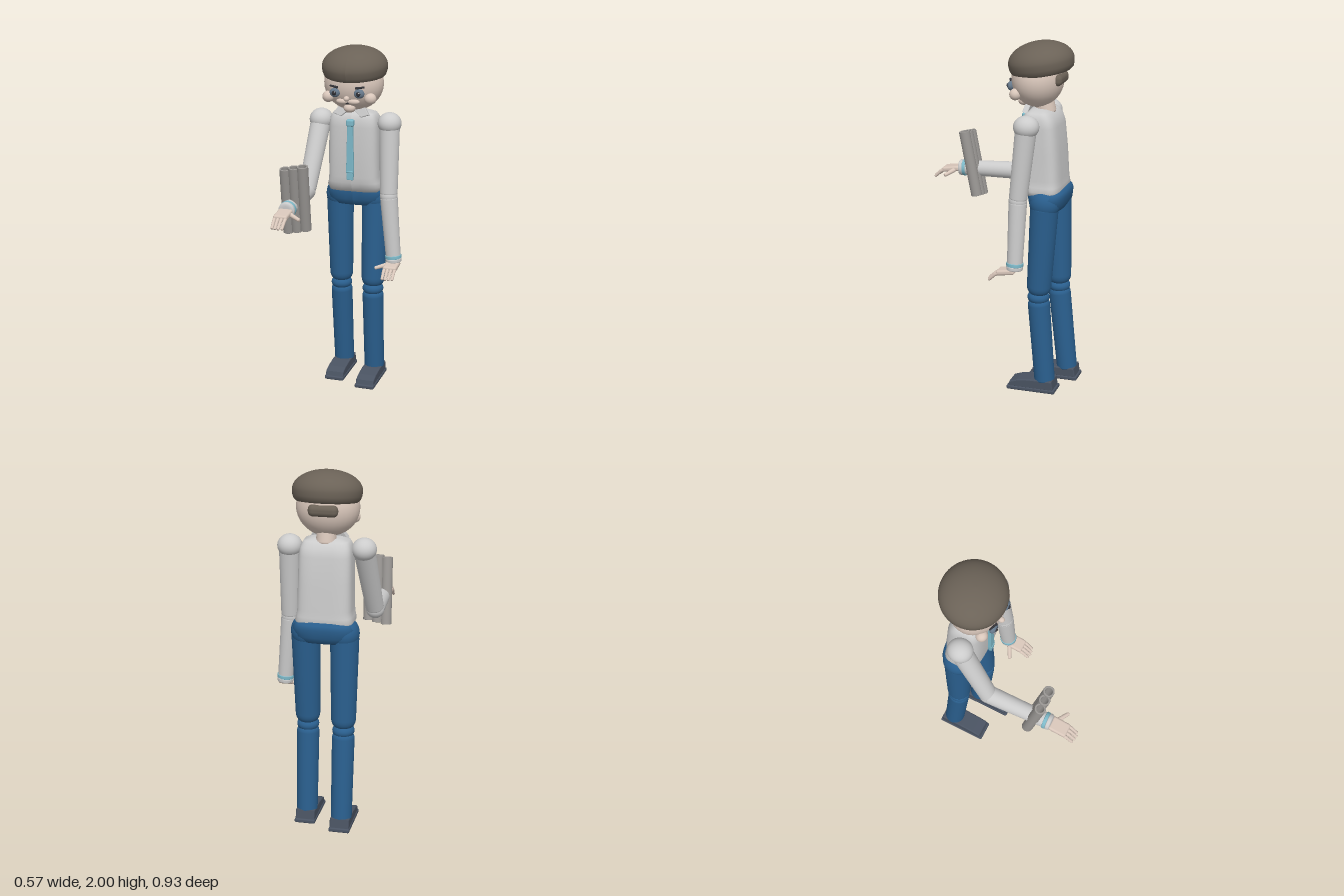
import * as THREE from 'three';
import { RoundedBoxGeometry } from 'three/addons/geometries/RoundedBoxGeometry.js';

const mat = (color) => new THREE.MeshStandardMaterial({ color });
const SHIRT = mat(0xcccccc), SKIN = mat(0xd8c6ba), PANTS = mat(0x2a5f8e), SHOE = mat(0x4a5362),
  CAP = mat(0x6b6257), BLUE = mat(0x7db9c9), PAPER = mat(0x9b9895), DARK = mat(0x333338), EYE = mat(0x66788a);
const V = (x, y, z) => new THREE.Vector3(x, y, z);
const UP = V(0, 1, 0), CX = -0.014;

export function createModel() {
  const model = new THREE.Group();

  const add = (name, geometry, material, pos = V(0, 0, 0), parent = model) => {
    const m = new THREE.Mesh(geometry, material);
    m.name = name;
    m.position.copy(pos);
    parent.add(m);
    return m;
  };

  // solid of revolution from point a to point b, profile pairs are [radius, distance]
  const lathe = (name, a, b, profile, material, parent) => {
    const pts = profile.map(([r, t]) => new THREE.Vector2(r, t));
    const m = add(name, new THREE.LatheGeometry(pts, 32), material, a, parent);
    m.quaternion.setFromUnitVectors(UP, b.clone().sub(a).normalize());
    return m;
  };

  // limb with softly rounded ends, e0 and e1 are the lengths of the roundings
  const limb = (name, a, b, r0, r1, material, e0 = 0.02, e1 = 0.02, parent = model) => {
    const L = a.distanceTo(b), p = [];
    for (let i = 0; i <= 6; i++) {
      const t = (i / 6) * Math.PI / 2;
      p.push([r0 * (0.55 + 0.45 * Math.sin(t)) * (i ? 1 : 0.98), e0 * (1 - Math.cos(t))]);
    }
    for (let i = 0; i <= 6; i++) {
      const t = (i / 6) * Math.PI / 2;
      p.push([r1 * (0.55 + 0.45 * Math.cos(t)), L - e1 * (1 - Math.sin(t))]);
    }
    return lathe(name, a, b, [[0, 0], ...p, [0, L]], material, parent);
  };

  const ball = (name, pos, rx, ry, rz, material, parent) => {
    const g = new THREE.SphereGeometry(1, 32, 20).scale(rx, ry, rz);
    return add(name, g, material, pos, parent);
  };

  // stack of superellipse sections [y, cz, hx, hz], listed from the top down
  const loft = (name, rows, power, material, pos) => {
    const n = 48, g = new THREE.CylinderGeometry(1, 1, 1, n, rows.length - 1, true);
    const P = g.attributes.position;
    const bend = (s) => Math.sign(s) * Math.abs(s) ** (2 / power);
    for (let i = 0; i < P.count; i++) {
      const [y, cz, hx, hz] = rows[Math.floor(i / (n + 1))];
      P.setXYZ(i, hx * bend(P.getX(i)), y, cz + hz * bend(P.getZ(i)));
    }
    g.computeVertexNormals();
    return add(name, g, material, pos);
  };

  // torso and pelvis
  loft('shirtTorso', [
    [1.64, -0.25, 0, 0], [1.638, -0.25, 0.08, 0.04], [1.625, -0.25, 0.12, 0.068], [1.595, -0.255, 0.136, 0.088],
    [1.55, -0.26, 0.143, 0.098], [1.4, -0.268, 0.146, 0.106], [1.26, -0.276, 0.148, 0.107],
    [1.225, -0.28, 0.153, 0.106], [1.2, -0.285, 0.16, 0.104], [1.17, -0.29, 0.15, 0.09], [1.16, -0.29, 0, 0],
  ], 4, SHIRT, V(CX, 0, 0));
  loft('pelvis', [
    [1.205, -0.305, 0, 0], [1.203, -0.305, 0.13, 0.085], [1.19, -0.305, 0.155, 0.103], [1.165, -0.305, 0.173, 0.106],
    [1.12, -0.305, 0.165, 0.1], [1.085, -0.305, 0.13, 0.08], [1.075, -0.305, 0, 0],
  ], 3, PANTS, V(CX, 0, 0));

  // neck, collar and tie
  limb('neck', V(CX, 1.6, -0.275), V(CX, 1.72, -0.255), 0.055, 0.05, SKIN);
  for (const s of [-1, 1]) {
    const flap = new THREE.Shape([[0.01, 0.028], [0.07, 0.045], [0.098, 0.0], [0.06, -0.014]]
      .map(([x, y]) => new THREE.Vector2(s * x, y)));
    const collar = add('collarFlap', new THREE.ExtrudeGeometry(flap, { depth: 0.022, bevelSize: 0.004, bevelThickness: 0.004 }),
      SHIRT, V(CX, 1.622, -0.195));
    collar.rotation.x = -0.25;
  }
  add('tieKnot', new RoundedBoxGeometry(0.044, 0.04, 0.035, 3, 0.01), BLUE, V(CX, 1.578, -0.157));
  const blade = new THREE.Shape([[-0.013, 0], [0.013, 0], [0.019, -0.255], [0.015, -0.305], [-0.015, -0.305], [-0.019, -0.255]]
    .map(([x, y]) => new THREE.Vector2(x, y)));
  add('tieBlade', new THREE.ExtrudeGeometry(blade, { depth: 0.014, bevelSize: 0.003, bevelThickness: 0.003, bevelSegments: 2 }),
    BLUE, V(CX, 1.557, -0.164));
  add('tieBand', new RoundedBoxGeometry(0.042, 0.012, 0.026, 2, 0.004), BLUE, V(CX, 1.297, -0.157));

  // head and face
  ball('head', V(CX, 1.795, -0.225), 0.17, 0.155, 0.14, SKIN);
  ball('chin', V(CX, 1.665, -0.145), 0.034, 0.026, 0.03, SKIN);
  ball('nose', V(CX, 1.727, -0.088), 0.016, 0.015, 0.018, SKIN);
  const smile = add('mouth', new THREE.TorusGeometry(0.05, 0.005, 8, 24, 1.7), DARK, V(CX, 1.748, -0.109));
  smile.rotation.z = -Math.PI / 2 - 0.85;
  for (const s of [-1, 1]) {
    const x = CX + s * 0.07;
    ball('eye', V(x, 1.757, -0.097), 0.03, 0.026, 0.02, EYE);
    ball('pupil', V(x, 1.757, -0.081), 0.013, 0.013, 0.009, DARK);
    ball('eyeGlint', V(x + 0.006, 1.764, -0.073), 0.004, 0.004, 0.003, SHIRT);
    limb('eyebrow', V(CX + s * 0.05, 1.788, -0.086), V(CX + s * 0.1, 1.794, -0.102), 0.007, 0.005, DARK, 0.005, 0.005);
    ball('cheek', V(CX + s * 0.122, 1.725, -0.138), 0.034, 0.032, 0.032, SKIN);
    ball('muzzle', V(CX + s * 0.032, 1.707, -0.115), 0.036, 0.017, 0.02, SKIN);
  }

  // flat cap, tipped forward, with a tuft of hair below it at the back
  const capRows = [];
  for (let i = 0; i <= 12; i++) {
    const t = (i / 12) * Math.PI / 2;
    capRows.push([0.108 * Math.cos(t), 0, 0.186 * Math.sin(t), 0.178 * Math.sin(t)]);
  }
  capRows.push([-0.025, 0, 0.183, 0.175], [-0.045, 0, 0.176, 0.168], [-0.058, 0, 0.163, 0.152], [-0.062, 0, 0.14, 0.12], [-0.062, 0, 0, 0]);
  loft('cap', capRows, 2, CAP, V(CX, 1.888, -0.241)).rotation.x = 0.15;
  add('hairTuft', new RoundedBoxGeometry(0.16, 0.065, 0.06, 4, 0.028), CAP, V(CX, 1.803, -0.347));

  // legs: hip, knee and ankle points
  const leg = (name, hip, knee, ankle) => {
    const g = new THREE.Group();
    g.name = name;
    model.add(g);
    ball('hipJoint', hip, 0.08, 0.09, 0.085, PANTS, g);
    limb('thigh', knee.clone().add(V(0, 0.02, 0)), hip, 0.068, 0.078, PANTS, 0.05, 0.03, g);
    ball('kneeJoint', knee, 0.061, 0.042, 0.062, PANTS, g);
    limb('shin', ankle, knee.clone().add(V(0, -0.01, 0)), 0.058, 0.062, PANTS, 0.012, 0.035, g);
    // shoe with a flat sole and a low tapered upper
    const shoe = new THREE.Group();
    shoe.name = 'shoe';
    shoe.position.set(ankle.x, 0, ankle.z - 0.073);
    shoe.rotation.x = 0.035;
    g.add(shoe);
    add('sole', new RoundedBoxGeometry(0.116, 0.024, 0.285, 3, 0.008), SHOE, V(0, 0.022, 0.142), shoe);
    const side = new THREE.Shape([[0.015, 0.034], [0.27, 0.034], [0.262, 0.054], [0.22, 0.068], [0.14, 0.078], [0.02, 0.078]]
      .map(([x, y]) => new THREE.Vector2(x, y)));
    const upper = new THREE.ExtrudeGeometry(side, { depth: 0.092, bevelSize: 0.006, bevelThickness: 0.008, bevelSegments: 3 });
    add('shoeUpper', upper.translate(0, 0, -0.046).rotateY(-Math.PI / 2), SHOE, V(0, 0, 0), shoe);
  };
  leg('leftLeg', V(0.092, 1.13, -0.305), V(0.09, 0.575, -0.275), V(0.089, 0.065, -0.317));
  leg('rightLeg', V(-0.122, 1.13, -0.31), V(-0.12, 0.575, -0.33), V(-0.12, 0.065, -0.385));

  // hand reaching forward from the wrist, s is the side the thumb points to
  const hand = (wrist, s, parent) => {
    const h = new THREE.Group();
    h.name = 'hand';
    h.position.copy(wrist);
    parent.add(h);
    const palm = add('palm', new RoundedBoxGeometry(0.08, 0.03, 0.105, 3, 0.012), SKIN, V(0, -0.008, 0.045), h);
    palm.rotation.x = 0.16;
    for (let i = 0; i < 4; i++) {
      const x = -s * (0.03 - i * 0.02), len = [0.045, 0.052, 0.054, 0.048][i];
      limb('finger', V(x, -0.016, 0.085), V(x, -0.03, 0.085 + len * 0.5), 0.01, 0.009, SKIN, 0.005, 0.005, h);
      limb('fingertip', V(x, -0.026, 0.08 + len * 0.5), V(x * 0.95, -0.063, 0.095 + len), 0.009, 0.008, SKIN, 0.005, 0.006, h);
    }
    limb('thumb', V(s * 0.03, -0.01, 0.02), V(s * 0.098, -0.028, 0.056), 0.013, 0.01, SKIN, 0.006, 0.007, h);
  };

  // arms: shoulder, elbow and wrist points
  const arm = (name, shoulder, elbow, wrist, s) => {
    const g = new THREE.Group();
    g.name = name;
    model.add(g);
    ball('shoulder', shoulder, 0.067, 0.062, 0.07, SHIRT, g);
    limb('upperArm', elbow, shoulder, 0.05, 0.058, SHIRT, 0.02, 0.02, g);
    ball('elbowJoint', elbow, 0.05, 0.05, 0.05, SHIRT, g);
    const at = (t) => elbow.clone().lerp(wrist, t);
    limb('forearm', elbow, at(0.91), 0.05, 0.043, SHIRT, 0.015, 0.01, g);
    limb('cuffBand', at(0.88), at(0.94), 0.047, 0.047, BLUE, 0.004, 0.004, g);
    limb('cuff', at(0.925), at(1.0), 0.046, 0.045, SHIRT, 0.008, 0.008, g);
    hand(wrist, s, g);
  };
  arm('leftArm', V(0.194, 1.575, -0.23), V(0.205, 1.165, -0.19), V(0.24, 0.775, -0.185), -1);
  arm('rightArm', V(-0.209, 1.575, -0.23), V(-0.24, 1.19, -0.06), V(-0.226, 1.175, 0.318), 1);

  // three rolled sheets carried at the right forearm
  for (let i = 0; i < 3; i++) {
    const a = V(-0.258 + i * 0.05, 1.02 + i * 0.01, 0.188), b = V(-0.25 + i * 0.05, 1.395 + i * 0.01, 0.258);
    const L = a.distanceTo(b);
    lathe('rolledSheet', a, b, [[0.02, 0.002], [0.022, 0], [0.029, 0], [0.031, 0.002], [0.031, L - 0.002], [0.029, L],
      [0.022, L], [0.02, L - 0.002], [0.02, 0.002]], PAPER);
  }

  return model;
}
